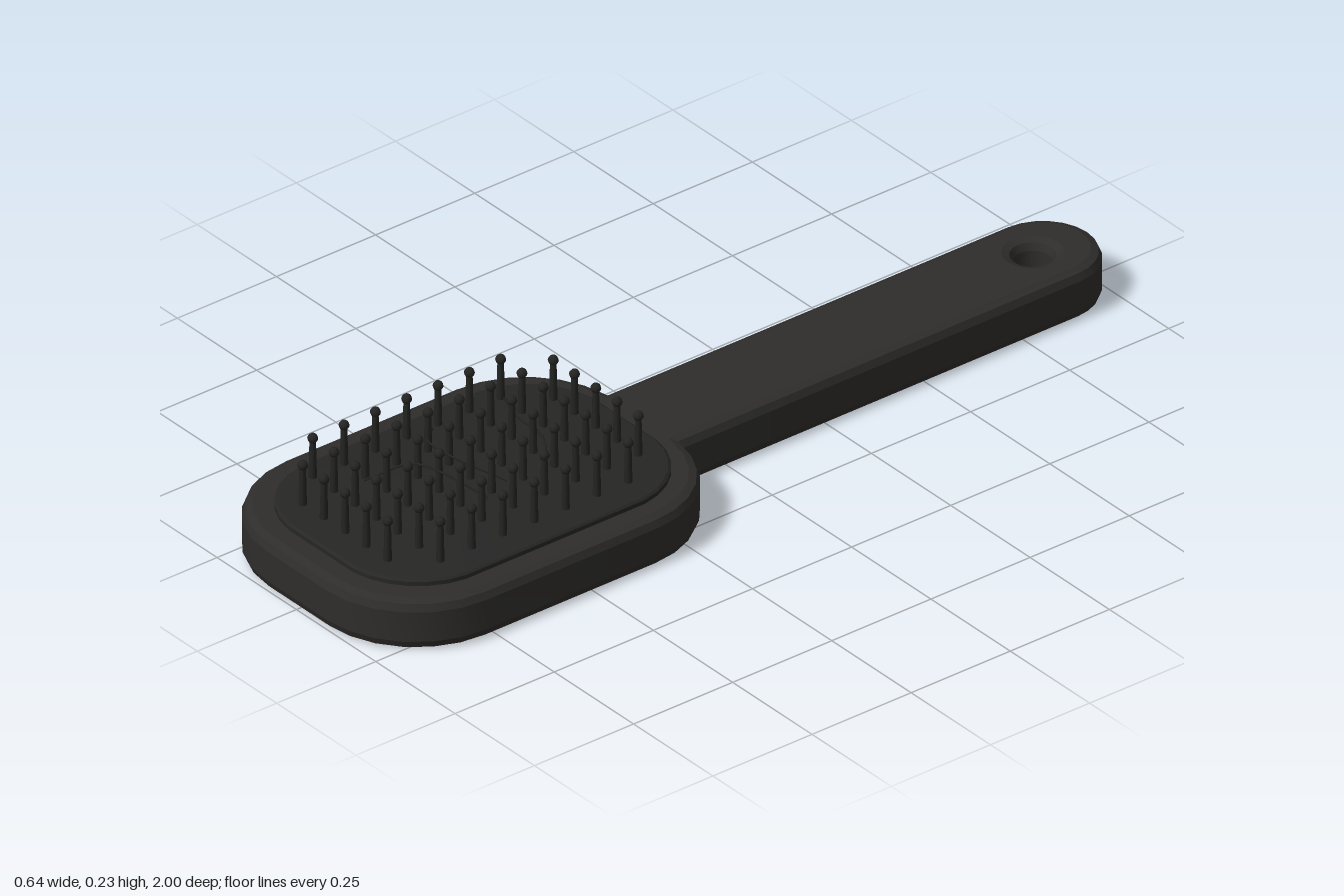
import * as THREE from 'three';
import { mergeGeometries, toCreasedNormals } from 'three/addons/utils/BufferGeometryUtils.js';

const bodyMat = new THREE.MeshStandardMaterial({ color: 0x2e2d2b });
const padMat = new THREE.MeshStandardMaterial({ color: 0x262625 });
const bristleMat = new THREE.MeshStandardMaterial({ color: 0x242423 });

function addMesh(group, name, geometry, material) {
  const mesh = new THREE.Mesh(geometry, material);
  mesh.name = name;
  group.add(mesh);
}

function circleHole(z, r, sides) {
  const points = [];
  for (let i = 0; i < sides; i++) {
    const a = (i / sides) * Math.PI * 2;
    points.push(new THREE.Vector2(r * Math.cos(a), z + r * Math.sin(a)));
  }
  return new THREE.Path(points);
}

// Paddle and handle in one outline, drawn in x and z
function bodyGeometry() {
  const PI = Math.PI, w = 0.117, r = 0.225, cx = 0.095, back = 0.345, front = 0.775;
  const neck = Math.acos((w - cx) / r);
  const s = new THREE.Shape();
  s.moveTo(-w, -1 + w);
  s.absarc(0, -1 + w, w, PI, 1.5 * PI, false);
  s.absarc(0, -1 + w, w, 1.5 * PI, 2 * PI, false);
  s.absarc(cx, back, r, -neck, 0, false);
  s.absarc(cx, front, r, 0, PI / 2, false);
  s.absarc(-cx, front, r, PI / 2, PI, false);
  s.absarc(-cx, back, r, PI, PI + neck, false);
  s.closePath();
  // Hanging hole and the small air vent under the cushion
  s.holes.push(circleHole(-0.857, 0.04, 20), circleHole(0.21, 0.014, 20));
  const height = 0.112, bevel = 0.022;
  const g = new THREE.ExtrudeGeometry(s, {
    depth: height - 2 * bevel, curveSegments: 3,
    bevelSize: bevel, bevelThickness: bevel, bevelOffset: -bevel, bevelSegments: 2,
  });
  // The vent keeps a narrow rim: pull its flared edges back in
  const p = g.attributes.position;
  for (let i = 0; i < p.count; i++) {
    const x = p.getX(i), z = p.getY(i) - 0.21, d = Math.hypot(x, z);
    if (d < 0.045) p.setXY(i, (x / d) * 0.022, 0.21 + (z / d) * 0.022);
  }
  g.rotateX(Math.PI / 2).translate(0, height - bevel, 0);
  return toCreasedNormals(g, 0.35);
}

// Domed cushion: a lathe whose quarters are pushed apart into a rounded rectangle
function cushionGeometry() {
  const profile = [[0, 0.1], [1, 0.1], [1, 0.121], [0.985, 0.125], [0.85, 0.129],
    [0.6, 0.133], [0.3, 0.1355], [0, 0.136]].map(([x, y]) => new THREE.Vector2(x, y));
  const sides = 28;
  const g = new THREE.LatheGeometry(profile, sides, Math.PI / sides);
  const p = g.attributes.position, r = 0.18;
  for (let i = 0; i < p.count; i++) {
    const x = p.getX(i), z = p.getZ(i), s = Math.hypot(x, z);
    p.setX(i, Math.sign(x) * s * (0.262 - r) + r * x);
    p.setZ(i, 0.555 + Math.sign(z) * s * (0.385 - r) + r * z);
  }
  return toCreasedNormals(g, 0.5);
}

// One pin with a ball tip
function bristleGeometry() {
  const pin = new THREE.CylinderGeometry(0.0065, 0.0085, 0.088, 8).translate(0, 0.176, 0);
  const tip = new THREE.SphereGeometry(0.011, 8, 6).translate(0, 0.222, 0);
  return mergeGeometries([pin, tip]);
}

export function createModel() {
  const model = new THREE.Group();
  model.name = 'hairbrush';
  addMesh(model, 'body', bodyGeometry(), bodyMat);
  addMesh(model, 'cushion', cushionGeometry(), padMat);

  // Grid of bristles, with the four corners left out
  const bristle = bristleGeometry(), pins = [];
  for (let row = 0; row < 9; row++) {
    for (let col = -3; col <= 3; col++) {
      if (Math.abs(col) === 3 && (row === 0 || row === 8)) continue;
      pins.push(bristle.clone().translate(col * 0.067, 0, 0.245 + row * 0.079));
    }
  }
  addMesh(model, 'bristles', mergeGeometries(pins), bristleMat);

  // Loose hairs caught between the bristles
  const hairs = [
    [[-0.17, 0.152, 0.34], [-0.06, 0.184, 0.395], [0.02, 0.176, 0.395], [0.135, 0.147, 0.48]],
    [[-0.178, 0.145, 0.515], [-0.135, 0.162, 0.565], [-0.06, 0.168, 0.575], [0.065, 0.145, 0.52]],
    [[-0.112, 0.145, 0.74], [-0.06, 0.181, 0.67], [0, 0.193, 0.655], [0.112, 0.16, 0.605]],
  ];
  hairs.forEach((points, i) => {
    const curve = new THREE.CatmullRomCurve3(points.map((p) => new THREE.Vector3(...p)));
    addMesh(model, `looseHair${i + 1}`, new THREE.TubeGeometry(curve, 12, 0.0025, 5), bristleMat);
  });
  return model;
}
